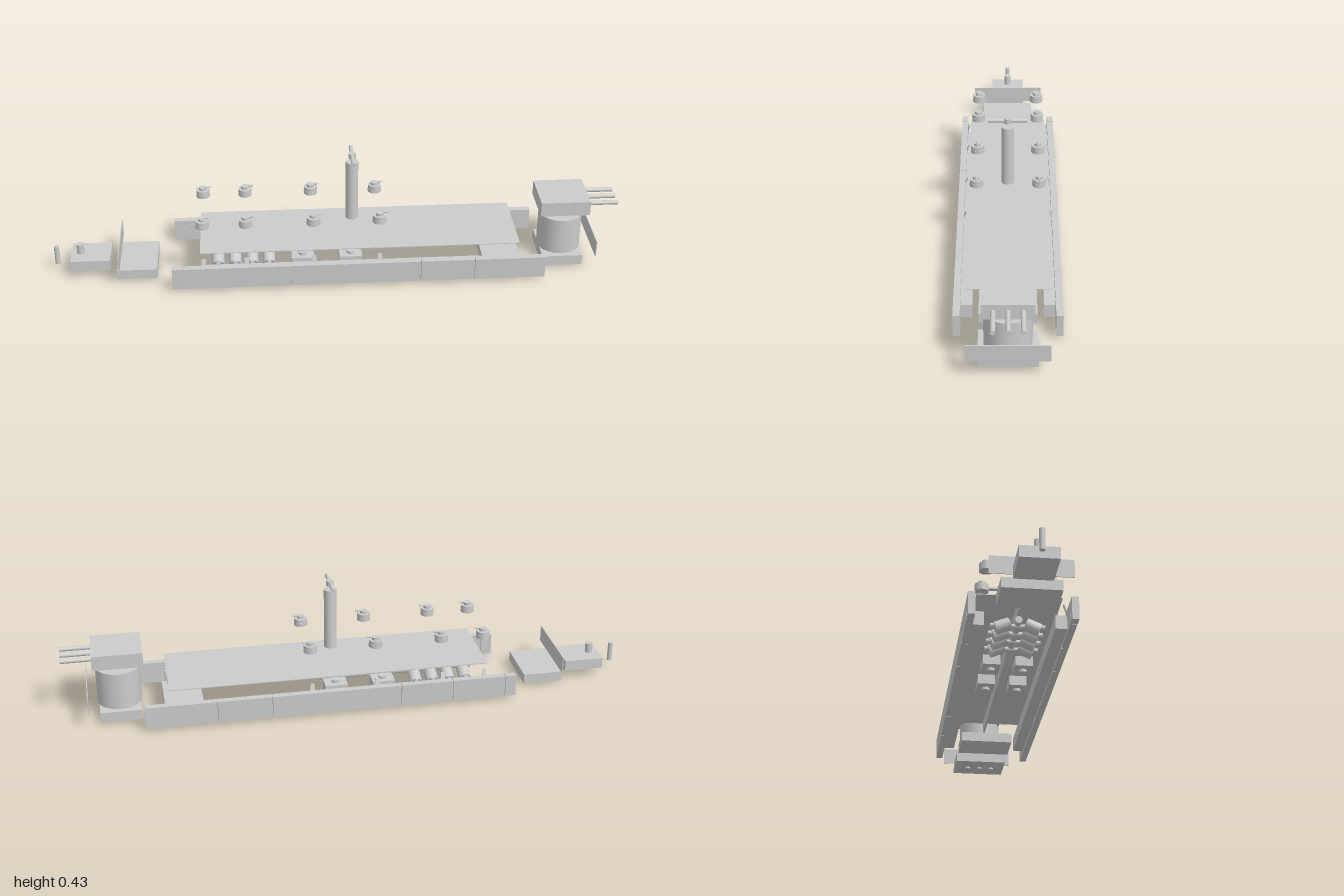
import * as THREE from 'three';

const grey = new THREE.MeshStandardMaterial({ color: 0xcccccc });

export function createModel() {
  const model = new THREE.Group();

  const add = (name, geometry, x, y, z, parent = model) => {
    const mesh = new THREE.Mesh(geometry, grey);
    mesh.name = name;
    mesh.position.set(x, y, z);
    parent.add(mesh);
    return mesh;
  };
  // Box from its limits along each axis
  const box = (name, x0, x1, y0, y1, z0, z1) =>
    add(name, new THREE.BoxGeometry(x1 - x0, y1 - y0, z1 - z0), (x0 + x1) / 2, (y0 + y1) / 2, (z0 + z1) / 2);
  // Upright cylinder from its bottom and top
  const post = (name, r, x, y0, y1, z, parent) =>
    add(name, new THREE.CylinderGeometry(r, r, y1 - y0, 32), x, (y0 + y1) / 2, z, parent);
  const rod = (name, r, length, axis, x, y, z, parent) => {
    const g = new THREE.CylinderGeometry(r, r, length, 24);
    if (axis === 'x') g.rotateZ(Math.PI / 2); else g.rotateX(Math.PI / 2);
    return add(name, g, x, y, z, parent);
  };

  // Thin top deck on a central spine
  box('deck', -0.48, 0.64, 0.13, 0.133, -0.14, 0.14);
  box('deckSpine', -0.48, 0.64, 0.085, 0.13, -0.003, 0.003);

  const joints = [-0.58, -0.54, -0.35, -0.165, 0.29, 0.48, 0.73];
  const stations = [-0.468, -0.318, -0.083, 0.147];
  for (const s of [-1, 1]) {
    // Segmented side rails
    for (let i = 0; i < joints.length - 1; i++) {
      box('railSegment', joints[i] + 0.001, joints[i + 1] - 0.001, 0.012, 0.091,
        s > 0 ? 0.153 : -0.176, s > 0 ? 0.176 : -0.153);
    }
    // Ledge inside the rail
    box('railLedge', -0.48, 0.64, 0.022, 0.07, s > 0 ? 0.115 : -0.153, s > 0 ? 0.153 : -0.115);

    for (const x of stations) {
      // Floating knobs with a stem and a small lever
      const knob = new THREE.Group();
      knob.name = 'knob';
      knob.position.set(x, 0, s * 0.108);
      model.add(knob);
      post('knobBase', 0.024, 0, 0.221, 0.234, 0, knob);
      post('knobCap', 0.023, 0, 0.234, 0.247, 0, knob);
      post('knobStem', 0.013, 0, 0.247, 0.257, 0, knob);
      rod('knobLever', 0.003, 0.03, 'x', 0.014, 0.257, 0, knob);

      // Slanted clips between rail and deck
      const clip = add('clip', new THREE.BoxGeometry(0.015, 0.028, 0.003), x, 0.1, s * 0.149);
      clip.rotation.x = -s * 0.35;
    }

    // Mechanism beneath the deck
    for (const x of [-0.42, -0.36, -0.3, -0.24]) {
      const drum = rod('drum', 0.022, 0.05, 'z', x, 0.05, s * 0.05);
      drum.rotation.x = s * 0.4;
      rod('drumAxle', 0.009, 0.09, 'z', x, 0.05, s * 0.045);
    }
    for (const x of [-0.12, 0.05]) {
      box('gearHousing', x - 0.04, x + 0.04, 0.03, 0.065, s * 0.055 - 0.03, s * 0.055 + 0.03);
      post('housingStud', 0.014, x, 0.02, 0.075, s * 0.055);
    }
  }
  rod('mainShaft', 0.012, 0.55, 'x', -0.18, 0.06, 0);

  // Block beneath the left end of the deck
  box('endBlock', 0.52, 0.655, 0.01, 0.045, -0.095, 0.095);

  // Central column and its loose cross handle
  post('column', 0.022, 0.058, 0.18, 0.402, 0);
  post('handleHub', 0.013, 0.058, 0.416, 0.434, 0);
  rod('crossHandle', 0.007, 0.136, 'z', 0.058, 0.425, 0);

  // Motor assembly at the left end
  box('motorBase', 0.735, 0.878, 0.006, 0.043, -0.095, 0.095);
  post('motorDrum', 0.077, 0.807, 0.043, 0.177, 0);
  box('motorHead', 0.72, 0.895, 0.202, 0.255, -0.083, 0.083);
  for (const z of [-0.046, 0, 0.046]) {
    rod('headPin', 0.008, 0.105, 'x', 0.9475, 0.23, z);
    post('baseStud', 0.01, 0.807, 0, 0.008, z);
  }

  // Upright end plates
  for (const x of [-0.765, 0.917]) box('endPlate', x - 0.0015, x + 0.0015, 0.06, 0.12, -0.132, 0.132);

  // Detached blocks at the right end
  box('innerBlock', -0.775, -0.635, 0.01, 0.045, -0.095, 0.095);
  box('outerBlock', -0.94, -0.8, 0.028, 0.067, -0.062, 0.062);
  post('blockPeg', 0.013, -0.907, 0.067, 0.103, 0);
  post('endPin', 0.009, -0.991, 0.026, 0.096, 0);

  return model;
}
